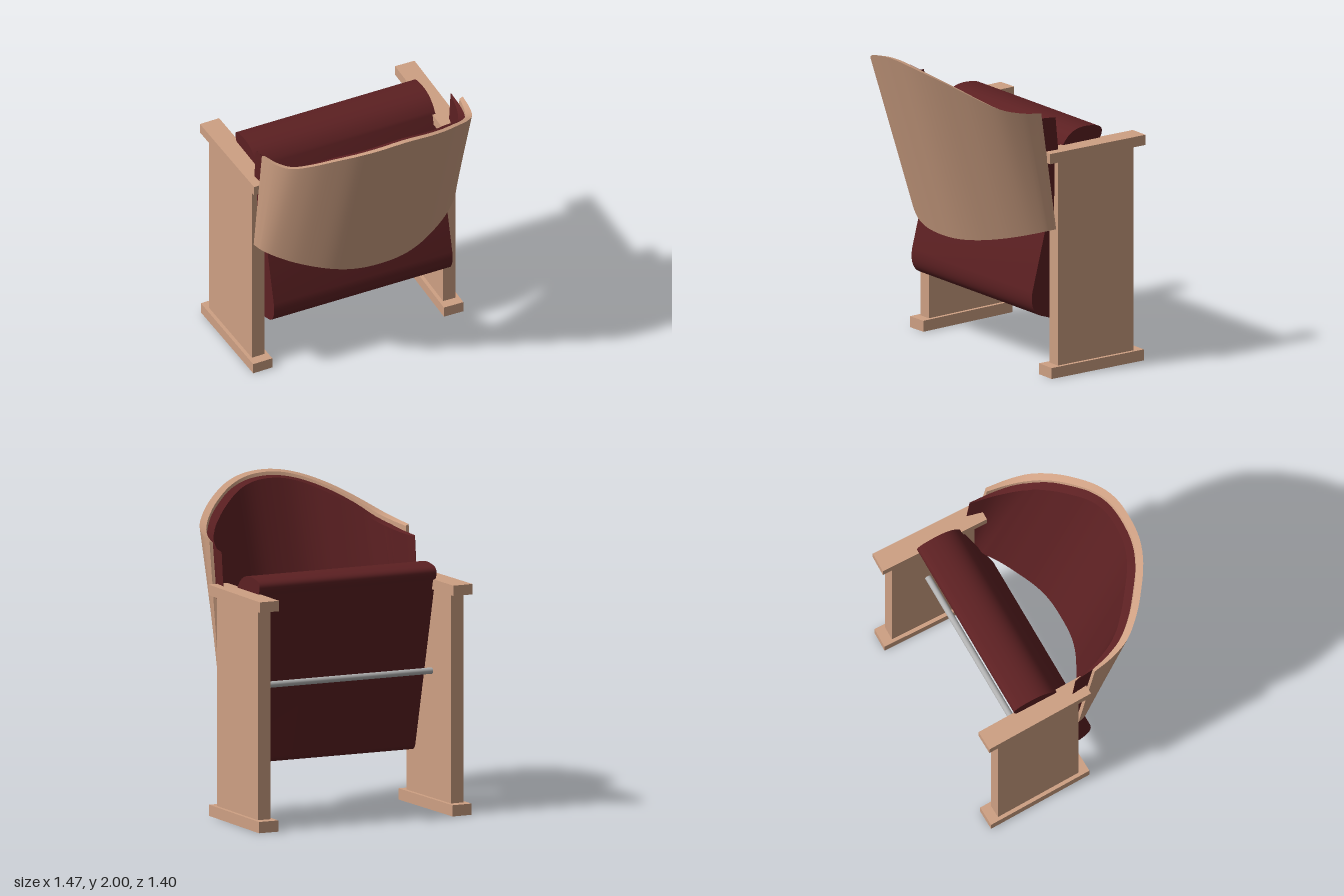
import * as THREE from 'three';
import { toCreasedNormals } from 'three/addons/utils/BufferGeometryUtils.js';

const material = (name, color) => {
  const m = new THREE.MeshStandardMaterial({ color });
  m.name = name;
  return m;
};

// Curved panel between a top and a bottom edge; rows are [x, top z, bottom z] for the +x half.
// The thickness tapers to endScale of itself at both upright ends.
function curvedPanel(rows, topY, bottomY, thickness, endScale) {
  const full = [...rows.slice(1).reverse().map(([x, t, b]) => [-x, t, b]), ...rows];
  const half = rows[rows.length - 1][0];
  const edge = (column) => new THREE.CatmullRomCurve3(
    full.map((r) => new THREE.Vector3(r[0], 0, r[column])), false, 'centripetal');
  const top = edge(1), bottom = edge(2);
  const steps = 56, columns = [];
  for (let i = 0; i <= steps; i++) {
    const t = i / steps;
    const fromEnd = Math.min(1, Math.min(t, 1 - t) * 7);
    const depth = thickness * THREE.MathUtils.lerp(endScale, 1, fromEnd);
    const pair = (curve, yAt, drop) => {
      const p = curve.getPoint(t), d = curve.getTangent(t);
      p.y = yAt(Math.min(1, Math.abs(p.x) / half));
      const q = new THREE.Vector3(p.x + d.z * depth, p.y - drop, p.z - d.x * depth);
      return [p, q];
    };
    const [topOut, topIn] = pair(top, topY, 0.01);
    const [lowOut, lowIn] = pair(bottom, bottomY, 0);
    columns.push([lowOut, topOut, topIn, lowIn]);
  }
  const pos = [];
  const quad = (a, b, c, d) => [a, b, c, a, c, d].forEach((p) => pos.push(p.x, p.y, p.z));
  for (let i = 0; i < steps; i++) {
    const a = columns[i], b = columns[i + 1];
    for (let k = 0; k < 4; k++) {
      const n = (k + 1) % 4;
      quad(a[k], b[k], b[n], a[n]);
    }
  }
  const [e0, e1, e2, e3] = columns[0];
  quad(e0, e1, e2, e3);
  const [f0, f1, f2, f3] = columns[steps];
  quad(f0, f3, f2, f1);
  const geo = new THREE.BufferGeometry();
  geo.setAttribute('position', new THREE.Float32BufferAttribute(pos, 3));
  return toCreasedNormals(geo, 0.6);
}

export function createModel() {
  const wood = material('wood', 0xcea083);
  const fabric = material('red fabric', 0x5c2022);
  const steel = material('steel', 0xb0b0b0);
  const model = new THREE.Group();
  model.name = 'foldingChair';
  const add = (parent, name, geo, mat) => {
    const mesh = new THREE.Mesh(geo, mat);
    mesh.name = name;
    parent.add(mesh);
    return mesh;
  };

  // Side stands, toed in slightly: foot, panel and armrest
  for (const side of [1, -1]) {
    const stand = new THREE.Group();
    stand.name = side > 0 ? 'leftStand' : 'rightStand';
    stand.position.set(side * 0.66, 0, -0.333);
    stand.rotation.y = -side * 0.021;
    const box = (name, w, h, d, y) =>
      add(stand, name, new THREE.BoxGeometry(w, h, d).translate(0, y + h / 2, 0), wood);
    box('foot', 0.132, 0.07, 0.70, 0);
    box('sidePanel', 0.086, 1.305, 0.575, 0.07);
    box('armrest', 0.132, 0.065, 0.724, 1.375);
    model.add(stand);
  }

  // Wooden back shell
  add(model, 'backShell', curvedPanel([
    [0, 0.70, 0.32], [0.16, 0.686, 0.31], [0.29, 0.637, 0.275], [0.42, 0.55, 0.215],
    [0.53, 0.455, 0.15], [0.62, 0.34, 0.075], [0.665, 0.21, 0.02], [0.687, 0.075, -0.04],
  ], (s) => 2 - 0.3 * s * s, (s) => 0.81 + 0.13 * s * s, 0.043, 0.5), wood);

  // Back cushion lining the shell, thinning to a point at the sides
  add(model, 'backCushion', curvedPanel([
    [0, 0.655, 0.275], [0.15, 0.641, 0.265], [0.27, 0.594, 0.23], [0.39, 0.51, 0.17],
    [0.50, 0.418, 0.105], [0.588, 0.318, 0.035], [0.648, 0.13, -0.03], [0.667, -0.05, -0.12],
  ], (s) => 1.97 - 0.32 * s * s, (s) => 0.82 + 0.13 * s * s, 0.052, 0.05), fabric);

  // Folded-up seat, drawn in side profile (z, y)
  const profile = new THREE.Shape();
  profile.moveTo(-0.11, 0.335);
  profile.lineTo(0.02, 0.38);
  profile.bezierCurveTo(0.07, 0.40, 0.10, 0.45, 0.085, 0.54);
  profile.lineTo(-0.15, 1.44);
  profile.bezierCurveTo(-0.20, 1.52, -0.27, 1.55, -0.40, 1.525);
  profile.bezierCurveTo(-0.45, 1.515, -0.47, 1.49, -0.43, 1.43);
  profile.lineTo(-0.165, 0.37);
  profile.quadraticCurveTo(-0.15, 0.33, -0.11, 0.335);
  const seat = new THREE.ExtrudeGeometry(profile, { depth: 1.22, bevelEnabled: false, curveSegments: 12 });
  seat.rotateY(-Math.PI / 2).translate(0.61, 0, 0);
  add(model, 'seat', toCreasedNormals(seat, 0.6), fabric);

  // Cross rod joining the stands
  const rod = new THREE.CylinderGeometry(0.02, 0.02, 1.25, 16).rotateZ(Math.PI / 2);
  add(model, 'crossRod', rod, steel).position.set(0, 0.86, -0.37);

  return model;
}
